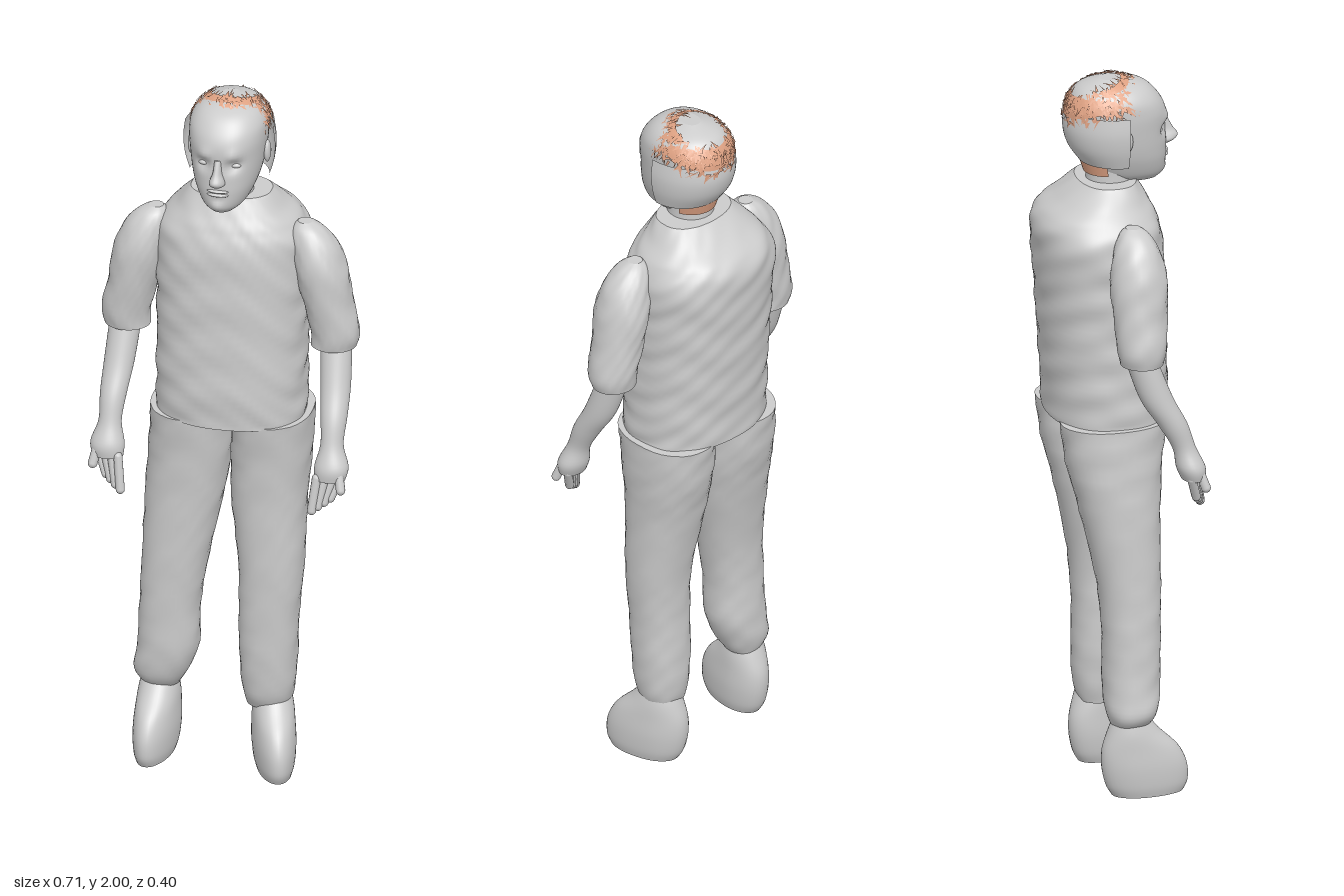
import * as THREE from 'three';
import { mergeVertices } from 'three/addons/utils/BufferGeometryUtils.js';

const clay = new THREE.MeshStandardMaterial({ color: 0xcccccc, side: THREE.DoubleSide });
clay.name = 'clay grey';
const hairMat = new THREE.MeshStandardMaterial({ color: 0xdfa283, side: THREE.DoubleSide });
hairMat.name = 'copper hair';

function seeded(seed) {
  return () => (seed = (seed * 16807) % 2147483647) / 2147483647;
}

// Catmull-Rom blend through rows of numbers
function sample(rows, u) {
  const f = u * (rows.length - 1);
  const i = Math.min(Math.floor(f), rows.length - 2);
  const t = f - i;
  const at = k => rows[Math.max(0, Math.min(rows.length - 1, k))];
  return rows[0].map((_, c) => {
    const [a, b, d, e] = [at(i - 1)[c], at(i)[c], at(i + 1)[c], at(i + 2)[c]];
    const m0 = (d - a) / 2, m1 = (e - b) / 2;
    return b + m0 * t + (3 * (d - b) - 2 * m0 - m1) * t * t + (2 * (b - d) + m0 + m1) * t * t * t;
  });
}

// Rising rounded cross-sections, each row: [y, centre x, half width, front z, back z]
function loft(rows, { power = 2, wrinkle = 0, seg = 36, steps = 5, from = 0, to = Math.PI * 2, caps = true, warp } = {}) {
  const pos = [], idx = [];
  const levels = (rows.length - 1) * steps;
  const ring = (s, fade) => {
    const [y, cx, rx, zf, zb] = s;
    for (let j = 0; j <= seg; j++) {
      const a = from + (to - from) * j / seg;
      const c = Math.cos(a), n = Math.sin(a);
      const folds = Math.sin(y * 47 + 2.5 * Math.sin(a * 3)) + Math.sin(y * 83 + 3 * Math.sin(a * 2 + 1) + y * 9 * c);
      const k = 1 + wrinkle * fade * folds;
      const p = new THREE.Vector3(
        cx + rx * k * Math.sign(c) * Math.abs(c) ** (2 / power), y,
        (zf + zb) / 2 + (zf - zb) / 2 * k * Math.sign(n) * Math.abs(n) ** (2 / power));
      if (warp) warp(p);
      pos.push(p.x, p.y, p.z);
    }
  };
  const w = seg + 1;
  for (let i = 0; i <= levels; i++) ring(sample(rows, i / levels), i && i < levels ? 1 : 0.4);
  for (let i = 0; i < levels; i++) for (let j = 0; j < seg; j++) {
    const a = i * w + j, b = a + 1, c = a + w, d = c + 1;
    idx.push(a, c, b, b, c, d);
  }
  if (caps) for (const [row, up] of [[rows[0], false], [rows[rows.length - 1], true]]) {
    const base = pos.length / 3;
    ring(row, 0.4);
    pos.push(row[1], row[0], (row[3] + row[4]) / 2);
    for (let j = 0; j < seg; j++) idx.push(base + w, base + (up ? j + 1 : j), base + (up ? j : j + 1));
  }
  const g = new THREE.BufferGeometry();
  g.setAttribute('position', new THREE.Float32BufferAttribute(pos, 3));
  g.setIndex(idx);
  g.computeVertexNormals();
  // Match normals across the closing seam
  if (to - from > 6) for (let i = 0; i <= levels; i++) {
    const N = g.attributes.normal, a = i * w, b = a + seg;
    const n = new THREE.Vector3().fromBufferAttribute(N, a).add(new THREE.Vector3().fromBufferAttribute(N, b)).normalize();
    N.setXYZ(a, n.x, n.y, n.z);
    N.setXYZ(b, n.x, n.y, n.z);
  }
  return g;
}

function add(parent, name, geo, mat = clay) {
  const m = new THREE.Mesh(geo, mat);
  m.name = name;
  parent.add(m);
  return m;
}

function finger(parent, name, a, b, r) {
  const p = new THREE.Vector3(...a), q = new THREE.Vector3(...b);
  const m = add(parent, name, new THREE.CapsuleGeometry(r, p.distanceTo(q), 4, 10));
  m.position.copy(p).lerp(q, 0.5);
  m.quaternion.setFromUnitVectors(new THREE.Vector3(0, 1, 0), q.sub(p).normalize());
}

function buildArm(s) {
  const arm = new THREE.Group();
  arm.name = s > 0 ? 'leftArm' : 'rightArm';
  const side = rows => rows.map(([y, x, ...r]) => [y, s * x, ...r]);
  add(arm, 'sleeve', loft(side([
    [1.275, 0.283, 0.062, 0.068, -0.048], [1.32, 0.287, 0.066, 0.076, -0.056],
    [1.41, 0.267, 0.068, 0.084, -0.062], [1.5, 0.25, 0.071, 0.09, -0.065],
    [1.57, 0.232, 0.064, 0.076, -0.05], [1.615, 0.215, 0.044, 0.055, -0.03],
    [1.635, 0.205, 0.02, 0.03, -0.01]]), { wrinkle: 0.016 }));
  add(arm, 'forearm', loft(side([
    [0.94, 0.305, 0.042, 0.178, 0.115], [0.975, 0.308, 0.046, 0.178, 0.1],
    [1.03, 0.305, 0.031, 0.153, 0.09], [1.1, 0.303, 0.036, 0.13, 0.05],
    [1.18, 0.297, 0.041, 0.09, 0], [1.3, 0.288, 0.043, 0.045, -0.04]])));
  for (let i = 0; i < 4; i++) {
    const t = i / 3;
    finger(arm, 'finger', [s * (0.333 - 0.06 * t), 0.945, 0.135 + 0.03 * t],
      [s * (0.308 - 0.045 * t), 0.885 - 0.03 * t, 0.155 + 0.025 * t], 0.0125);
  }
  finger(arm, 'thumb', [s * 0.33, 0.97, 0.155], [s * 0.341, 0.92, 0.172], 0.013);
  return arm;
}

function buildHead() {
  const head = new THREE.Group();
  head.name = 'head';
  add(head, 'neck', loft([[1.64, 0, 0.068, 0.08, -0.06], [1.72, 0, 0.062, 0.075, -0.055], [1.8, 0, 0.065, 0.08, -0.06]]));
  // Skull with hollowed eye sockets and a slight brow and chin
  const bump = (p, x, y, r) => Math.exp(-((Math.abs(p.x) - x) ** 2 + (p.y - y) ** 2) / (r * r));
  add(head, 'skull', loft([
    [1.7, 0, 0.036, 0.14, 0.03], [1.72, 0, 0.06, 0.157, -0.03], [1.76, 0, 0.08, 0.163, -0.06],
    [1.8, 0, 0.092, 0.163, -0.085], [1.85, 0, 0.1, 0.162, -0.103], [1.9, 0, 0.104, 0.16, -0.107],
    [1.94, 0, 0.1, 0.14, -0.1], [1.972, 0, 0.075, 0.105, -0.075], [1.992, 0, 0.025, 0.045, -0.02]],
  { power: 2.2, seg: 56, steps: 6, warp: p => {
    if (p.z > 0.05) p.z += 0.008 * bump(p, 0.04, 1.875, 0.018) - 0.016 * bump(p, 0.042, 1.845, 0.018)
      + 0.007 * bump(p, 0, 1.722, 0.02) - 0.006 * bump(p, 0, 1.745, 0.01);
  } }));
  add(head, 'nose', loft([[1.786, 0, 0.01, 0.172, 0.14], [1.797, 0, 0.021, 0.192, 0.14],
    [1.81, 0, 0.019, 0.2, 0.14], [1.83, 0, 0.012, 0.186, 0.14], [1.865, 0, 0.009, 0.168, 0.14]], { seg: 16 }));
  for (const s of [-1, 1]) {
    const eye = add(head, 'eye', new THREE.SphereGeometry(1, 16, 10).scale(0.017, 0.008, 0.012));
    eye.position.set(s * 0.042, 1.843, 0.132);
    const ear = add(head, 'ear', new THREE.SphereGeometry(1, 14, 10).scale(0.01, 0.032, 0.018));
    ear.position.set(s * 0.104, 1.84, 0.025);
  }
  for (const y of [1.761, 1.772]) {
    const lip = add(head, 'lip', new THREE.SphereGeometry(1, 16, 8).scale(0.03, 0.0055, 0.013));
    lip.position.set(0, y, 0.158);
  }
  // Half shell wrapped round the back of the head, open at the front
  add(head, 'backShell', loft([[1.765, 0, 0.108, 0.135, -0.075], [1.81, 0, 0.121, 0.165, -0.105],
    [1.86, 0, 0.126, 0.178, -0.118], [1.91, 0, 0.121, 0.174, -0.114]],
  { from: Math.PI, to: Math.PI * 2, caps: false }));
  head.add(buildHair());
  return head;
}

function buildHair() {
  const hair = new THREE.Group();
  hair.name = 'hair';
  const fit = g => g.rotateX(-0.35).scale(0.112, 0.105, 0.122).translate(0, 1.894, 0.005);
  // Band of hair round a thin crown
  const band = fit(mergeVertices(new THREE.SphereGeometry(1, 40, 8, 0, Math.PI * 2, 0.62, 0.56)));
  band.computeVertexNormals();
  add(hair, 'hairBand', band, hairMat);
  // Loose pointed strands make both edges ragged
  const rnd = seeded(77), pos = [];
  const at = (r, a, t) => pos.push(r * Math.sin(t) * Math.cos(a), r * Math.cos(t), r * Math.sin(t) * Math.sin(a));
  for (let i = 0; i < 460; i++) {
    const a = rnd() * Math.PI * 2, t = 0.55 + rnd() * 0.75;
    const r = 1 + rnd() * 0.04, lean = (rnd() - 0.5) * 0.5;
    const width = 0.03 + rnd() * 0.05, len = 0.15 + rnd() * 0.25;
    at(r, a - width, t);
    at(r, a + width, t);
    at(r + 0.02, a + lean, t + (rnd() < 0.2 ? -len * 0.7 : len));
  }
  const strands = new THREE.BufferGeometry();
  strands.setAttribute('position', new THREE.Float32BufferAttribute(pos, 3));
  fit(strands).computeVertexNormals();
  add(hair, 'strands', strands, hairMat);
  // Low hairline at the nape
  add(hair, 'napeHair', loft([[1.73, 0, 0.068, 0.08, -0.062], [1.78, 0, 0.078, 0.08, -0.078]],
    { from: Math.PI * 1.1, to: Math.PI * 1.9, caps: false, seg: 16 }), hairMat);
  return hair;
}

export function createModel() {
  const model = new THREE.Group();
  model.name = 'standingMan';

  add(model, 'shirt', loft([
    [1.05, 0, 0.203, 0.15, -0.165], [1.15, 0, 0.203, 0.155, -0.17], [1.3, 0, 0.203, 0.15, -0.18],
    [1.45, 0, 0.206, 0.146, -0.19], [1.57, 0, 0.207, 0.138, -0.198], [1.625, 0, 0.183, 0.122, -0.182],
    [1.665, 0, 0.148, 0.1, -0.135], [1.71, 0, 0.11, 0.075, -0.08]],
  { power: 2.3, wrinkle: 0.009, seg: 72, steps: 8 }));

  // Trousers, one leg standing slightly further out than the other
  add(model, 'rightTrouserLeg', loft([
    [0.21, -0.19, 0.05, 0.055, -0.045], [0.25, -0.19, 0.073, 0.08, -0.058], [0.33, -0.17, 0.083, 0.092, -0.062],
    [0.45, -0.165, 0.082, 0.095, -0.06], [0.6, -0.15, 0.09, 0.1, -0.07], [0.8, -0.127, 0.107, 0.105, -0.11],
    [0.94, -0.114, 0.112, 0.115, -0.145], [1.055, -0.11, 0.11, 0.13, -0.16]], { power: 2.2, wrinkle: 0.01 }));
  add(model, 'leftTrouserLeg', loft([
    [0.18, 0.103, 0.058, 0.06, -0.045], [0.23, 0.105, 0.07, 0.08, -0.058], [0.33, 0.105, 0.078, 0.09, -0.062],
    [0.45, 0.107, 0.081, 0.095, -0.06], [0.6, 0.113, 0.088, 0.1, -0.07], [0.8, 0.104, 0.102, 0.105, -0.11],
    [0.94, 0.108, 0.108, 0.115, -0.145], [1.055, 0.11, 0.11, 0.13, -0.16]], { power: 2.2, wrinkle: 0.01 }));

  // Shoes, toes turned outwards
  for (const [name, x, y, yaw] of [['rightShoe', -0.195, 0.012, -0.06], ['leftShoe', 0.113, 0, 0.34]]) {
    const shoe = add(model, name, loft([
      [0, 0, 0.05, 0.15, -0.045], [0.03, 0, 0.058, 0.163, -0.062], [0.08, 0, 0.062, 0.16, -0.073],
      [0.13, 0, 0.06, 0.135, -0.072], [0.18, 0, 0.056, 0.085, -0.056], [0.23, 0, 0.045, 0.045, -0.035]],
    { power: 2.1, warp: p => { if (p.z > 0) p.x *= 1 - 1.2 * p.z; } }));
    shoe.position.set(x, y, 0);
    shoe.rotation.y = yaw;
  }

  for (const s of [-1, 1]) model.add(buildArm(s));
  model.add(buildHead());
  return model;
}
